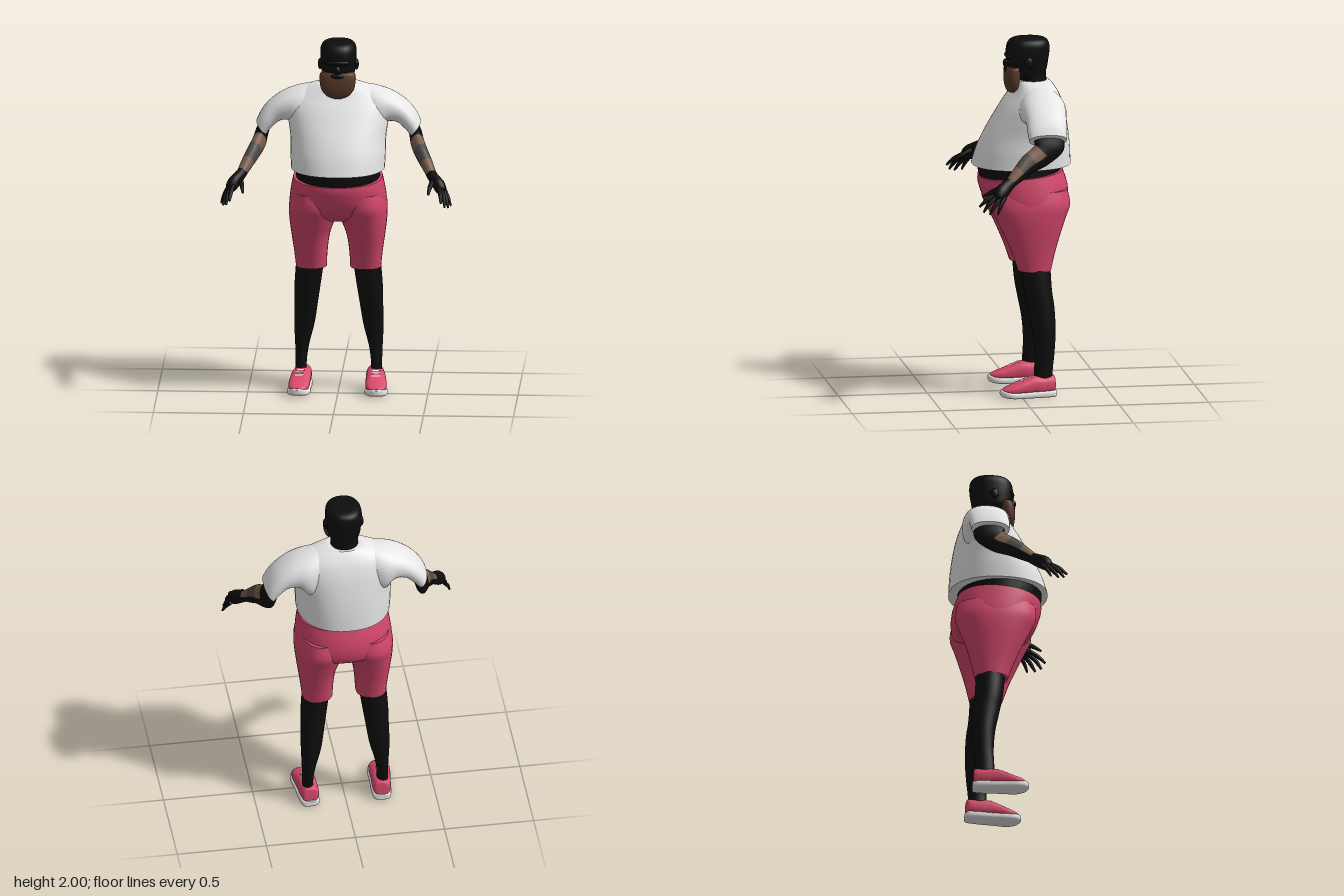
import * as THREE from 'three';

const mat = (name, color) => Object.assign(new THREE.MeshStandardMaterial({ color }), { name });

// Ring rows: centre, first half-axis, second half-axis (9 numbers)
const flat = (y, x0, x1, zf, zb, tilt = 0) =>
  [(x0 + x1) / 2, y, (zf + zb) / 2, (x1 - x0) / 2, 0, 0, 0, tilt, (zf - zb) / 2];
const wide = ([y, hx, zf, zb, tilt]) => flat(y, -hx, hx, zf, zb, tilt);
const upright = ([z, hx, y0, y1]) => [0, (y0 + y1) / 2, z, hx, 0, 0, 0, (y1 - y0) / 2, 0];
const slanted = ([tx, ty, bx, by, zf, zb]) =>
  [(tx + bx) / 2, (ty + by) / 2, (zf + zb) / 2, (tx - bx) / 2, (ty - by) / 2, 0, 0, 0, (zf - zb) / 2];
const mirrorRows = (rows, s) => rows.map((r) => r.map((v, k) => (k % 3 === 0 ? v * s : v)));

// Rows along a path of [x, y, z, r1, r2]
function along(path) {
  const p = path.map((a) => new THREE.Vector3(a[0], a[1], a[2]));
  const X = new THREE.Vector3(1, 0, 0);
  return path.map((a, i) => {
    const t = p[Math.min(i + 1, p.length - 1)].clone().sub(p[Math.max(i - 1, 0)]).normalize();
    const u = t.clone().cross(X).normalize();
    const v = t.clone().cross(u);
    return [...p[i].toArray(), ...u.multiplyScalar(a[3]).toArray(), ...v.multiplyScalar(a[4] ?? a[3]).toArray()];
  });
}

// Smooth skin over superellipse rings; paint(t, angle) picks a material index
function loft(name, rows, material, { n = 32, sub = 5, power = 2, paint = null } = {}) {
  const rings = [];
  const last = rows.length - 1;
  for (let i = 0; i <= last * sub; i++) {
    const k = Math.min(Math.floor(i / sub), last - 1);
    const t = i / sub - k;
    const [a, b, c, d] = [k - 1, k, k + 1, k + 2].map((q) => rows[THREE.MathUtils.clamp(q, 0, last)]);
    rings.push(b.map((v, j) => v + 0.5 * t * (c[j] - a[j]
      + t * (2 * a[j] - 5 * v + 4 * c[j] - d[j] + t * (3 * (v - c[j]) + d[j] - a[j])))));
  }
  const vec = (r, o) => new THREE.Vector3(r[o], r[o + 1], r[o + 2]);
  const m = rings.length;
  const mid = rings[m >> 1];
  const dir = vec(rings[m - 1], 0).sub(vec(rings[0], 0));
  const flip = vec(mid, 3).cross(vec(mid, 6)).dot(dir) < 0;
  const pos = [];
  const buckets = [];
  const tri = (g, a, b, c) => (buckets[g] ??= []).push(...(flip ? [a, c, b] : [a, b, c]));
  const se = (v) => Math.sign(v) * Math.abs(v) ** (2 / power);
  const addRing = (r) => {
    for (let j = 0; j < n; j++) {
      const c = se(Math.cos((j / n) * Math.PI * 2)), s = se(Math.sin((j / n) * Math.PI * 2));
      for (let q = 0; q < 3; q++) pos.push(r[q] + r[3 + q] * c + r[6 + q] * s);
    }
  };
  rings.forEach(addRing);
  for (let i = 0; i < m - 1; i++) for (let j = 0; j < n; j++) {
    const a = i * n + j, b = i * n + (j + 1) % n;
    const g = paint ? paint((i + 0.5) / (m - 1), ((j + 0.5) / n) * Math.PI * 2) : 0;
    tri(g, a, b, a + n);
    tri(g, b, b + n, a + n);
  }
  // end caps with their own ring, so the rim stays sharp
  for (const [ring, top] of [[rings[0], false], [rings[m - 1], true]]) {
    const base = pos.length / 3;
    addRing(ring);
    pos.push(ring[0], ring[1], ring[2]);
    for (let j = 0; j < n; j++) {
      const a = base + j, b = base + (j + 1) % n;
      if (top) tri(0, a, b, base + n); else tri(0, b, a, base + n);
    }
  }
  const geo = new THREE.BufferGeometry();
  geo.setAttribute('position', new THREE.Float32BufferAttribute(pos, 3));
  const index = [];
  buckets.forEach((list, g) => {
    if (paint) geo.addGroup(index.length, list.length, g);
    for (const v of list) index.push(v);
  });
  geo.setIndex(index);
  geo.computeVertexNormals();
  const mesh = new THREE.Mesh(geo, material);
  mesh.name = name;
  return mesh;
}

export function createModel() {
  const model = new THREE.Group();
  model.name = 'standingMan';
  const black = mat('black', 0x0d0d0d), white = mat('white', 0xe6e6e6), pink = mat('shortsPink', 0xcf4569);
  const shoePink = mat('shoePink', 0xdb4b6d), skin = mat('skin', 0x7a5c49);
  const grey = mat('armGrey', 0x4c4a48), beardBrown = mat('beardBrown', 0x5a3a29);
  const add = (...a) => model.add(loft(...a));
  const ball = (name, material, x, y, z, sx, sy, sz) => {
    const b = new THREE.Mesh(new THREE.SphereGeometry(1, 20, 14), material);
    b.name = name;
    b.position.set(x, y, z);
    b.scale.set(sx, sy, sz);
    model.add(b);
  };

  // Head and neck
  add('neck', [[1.68, .09, -.01, -.185], [1.76, .077, -.02, -.168], [1.86, .08, -.02, -.165]].map(wide), black);
  add('head', [[1.775, .07, .02, -.15], [1.82, .09, .045, -.168], [1.87, .097, .055, -.177], [1.92, .1, .058, -.184],
    [1.96, .099, .052, -.183], [1.985, .086, .035, -.17], [1.997, .06, .005, -.14], [2, .01, -.05, -.08]].map(wide),
    black, { power: 2.3 });
  add('beard', [[1.69, .025, .04, .008], [1.705, .06, .056, -.005], [1.74, .09, .066, -.012], [1.79, .1, .068, -.018],
    [1.825, .099, .063, -.02], [1.84, .09, .055, -.02]].map(wide), beardBrown, { power: 2.4 });
  ball('nose', black, 0, 1.855, .056, .02, .026, .02);
  ball('moustache', black, 0, 1.822, .056, .042, .015, .015);
  ball('brow', black, 0, 1.897, .045, .07, .014, .02);
  for (const s of [1, -1]) ball('ear', black, s * .1, 1.868, -.055, .014, .032, .024);

  // Shirt body and the waist under it
  add('shirt', [[1.29, .26, .25, -.3], [1.38, .265, .22, -.296], [1.47, .267, .175, -.287], [1.56, .28, .118, -.272],
    [1.63, .285, .07, -.255], [1.69, .26, .022, -.232], [1.735, .18, -.005, -.203], [1.758, .1, -.015, -.182]].map(wide),
    white, { n: 48, power: 2.25 });
  add('waist', [[1.15, .23, .19, -.24], [1.24, .232, .212, -.245], [1.3, .232, .22, -.25]].map(wide), black);

  // Shorts seat
  add('shortsSeat', [[1.24, .248, .214, -.255, -.018], [1.18, .26, .212, -.28], [1.1, .27, .185, -.286],
    [1.04, .262, .145, -.262], [1, .2, .08, -.19]].map(wide), pink, { n: 48, power: 2.2 });

  const fingers = [
    ['thumb', [.538, 1.265, .15, .014], [.522, 1.235, .22, .013], [.515, 1.205, .27, .006]],
    ['indexFinger', [.572, 1.23, .205, .013], [.582, 1.2, .26, .012], [.586, 1.165, .3, .006]],
    ['middleFinger', [.585, 1.22, .2, .013], [.6, 1.18, .25, .012], [.607, 1.137, .28, .006]],
    ['ringFinger', [.595, 1.215, .18, .013], [.613, 1.17, .22, .012], [.625, 1.127, .248, .006]],
    ['littleFinger', [.597, 1.215, .158, .012], [.622, 1.17, .187, .011], [.638, 1.127, .205, .005]],
  ];
  const armPaint = (t, a) => {
    if (t < .36 || t > .95 || Math.cos(a) < -.15) return 0;
    return t < .52 || t > .78 ? 1 : 2;
  };

  for (const s of [1, -1]) {
    const side = (name, rows, ...rest) => add(name, mirrorRows(rows, s), ...rest);
    // Sleeve and arm
    side('sleeve', [[.08, 1.752, .1, 1.46, -.02, -.2], [.2, 1.735, .2, 1.46, .02, -.245], [.3, 1.7, .262, 1.53, .01, -.235],
      [.38, 1.645, .32, 1.535, 0, -.226], [.43, 1.585, .37, 1.495, 0, -.222], [.457, 1.53, .4, 1.46, -.005, -.216]]
      .map(slanted), white, { power: 2.3 });
    side('arm', along([[.4, 1.53, -.11, .09, .035], [.425, 1.465, -.115, .088, .036], [.44, 1.415, -.07, .066, .038],
      [.47, 1.37, .01, .054, .037], [.5, 1.325, .065, .042, .034], [.528, 1.28, .12, .029, .028]]),
      [black, skin, grey], { sub: 6, paint: armPaint });
    // Hand
    side('palm', along([[.52, 1.29, .105, .03, .029], [.54, 1.267, .138, .036, .03], [.568, 1.24, .172, .04, .034],
      [.585, 1.215, .197, .03, .03], [.592, 1.207, .21, .01, .012]]), black, { n: 20 });
    for (const [name, ...path] of fingers) side(name, along(path), black, { n: 10, sub: 4 });
    // Shorts leg and lower leg
    side('shortsLeg', [[.71, .065, .236, .015, -.17], [.8, .06, .246, .046, -.19], [.9, .046, .26, .088, -.218],
      [1, .012, .272, .135, -.252], [1.08, 0, .272, .172, -.28], [1.16, .015, .252, .17, -.265]].map((r) => flat(...r)),
      pink, { power: 2.25 });
    side('leg', [[.09, .178, .24, -.065, -.168], [.16, .178, .24, -.067, -.172], [.25, .165, .243, -.07, -.182],
      [.37, .135, .248, -.06, -.19], [.5, .115, .246, -.034, -.185], [.6, .1, .245, -.015, -.172],
      [.74, .08, .235, 0, -.165]].map((r) => flat(...r)), black);

    // Shoe
    const shoe = new THREE.Group();
    shoe.name = 'shoe';
    shoe.add(loft('shoeUpper', [[-.184, .025, .03, .1], [-.175, .045, .025, .123], [-.12, .053, .02, .12],
      [-.065, .055, .02, .124], [-.01, .058, .02, .106], [.045, .058, .02, .082], [.09, .046, .025, .064],
      [.115, .02, .03, .05]].map(upright), shoePink, { power: 2.5 }));
    shoe.add(loft('sole', [[-.19, .022, .008, .04], [-.18, .047, .002, .043], [-.12, .056, 0, .043], [-.03, .059, 0, .04],
      [.05, .064, 0, .04], [.095, .053, .005, .045], [.118, .032, .013, .048], [.126, .01, .022, .042]].map(upright),
      white, { power: 3.5 }));
    for (let k = 0; k < 3; k++) {
      const lace = new THREE.Mesh(new THREE.BoxGeometry(.05, .006, .008), white);
      lace.name = 'lace';
      lace.position.set(0, .118 - k * .01, -.045 + k * .024);
      lace.rotation.x = .4;
      shoe.add(lace);
    }
    shoe.position.x = s * .212;
    shoe.rotation.y = s * .07;
    model.add(shoe);
  }
  return model;
}
